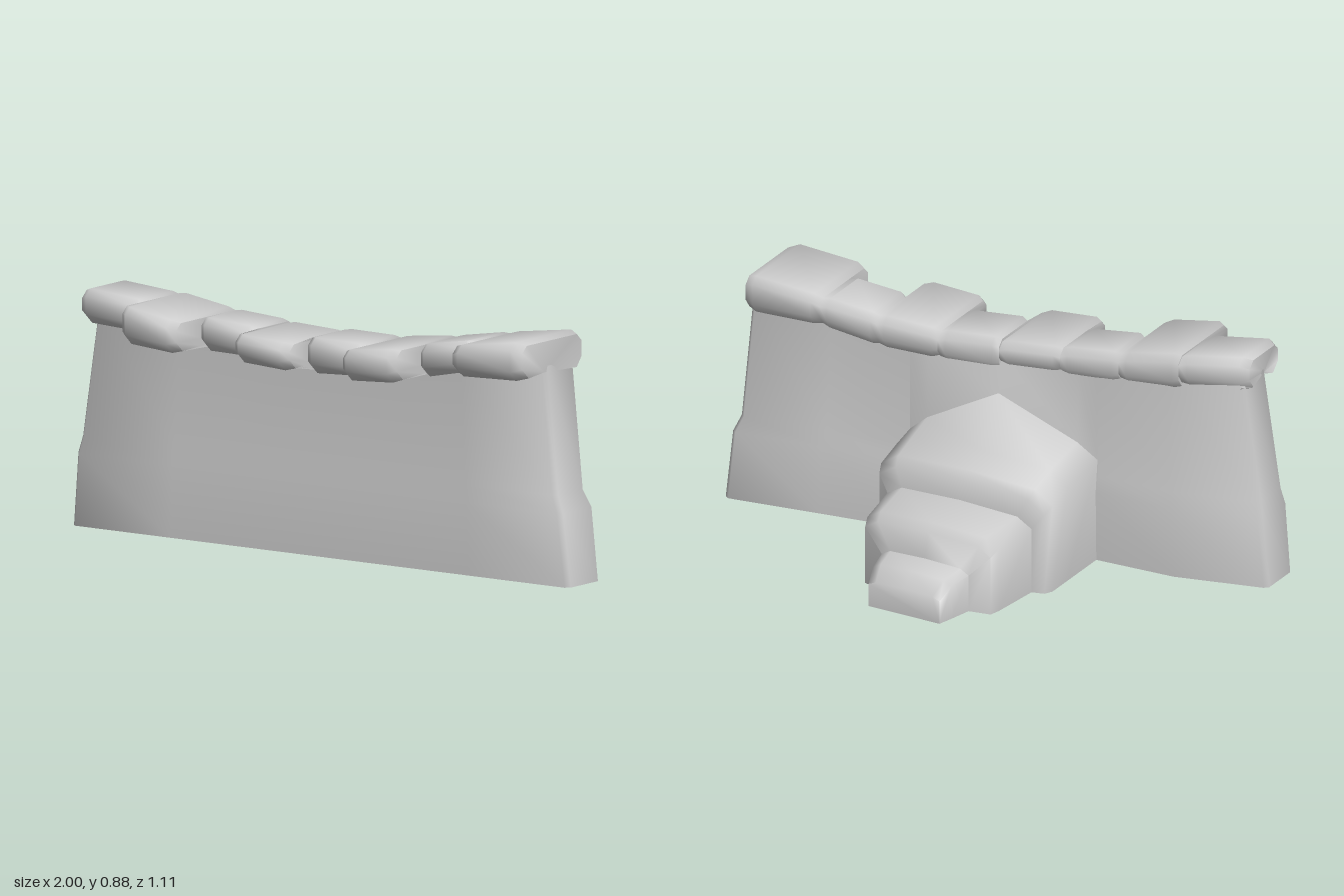
import * as THREE from 'three';
import { toCreasedNormals } from 'three/addons/utils/BufferGeometryUtils.js';

const material = new THREE.MeshStandardMaterial({ color: 0xcccccc, side: THREE.DoubleSide });
const lerp = THREE.MathUtils.lerp;

// Skins a list of equal-length point rows; the first and last can be filled with fans.
function loft(name, rows, { capStart = false, capEnd = false, flip = false, crease = 1.1 } = {}) {
  const n = rows[0].length;
  const index = [];
  const tri = (a, b, c) => (flip ? index.push(a, c, b) : index.push(a, b, c));
  for (let i = 0; i < rows.length - 1; i++) {
    for (let j = 0; j < n - 1; j++) {
      const a = i * n + j;
      tri(a, a + n, a + 1);
      tri(a + 1, a + n, a + n + 1);
    }
  }
  const last = (rows.length - 1) * n;
  for (let j = 1; j < n - 1; j++) {
    if (capStart) tri(0, j, j + 1);
    if (capEnd) tri(last, last + j + 1, last + j);
  }
  const geometry = new THREE.BufferGeometry();
  geometry.setAttribute('position', new THREE.Float32BufferAttribute(rows.flat(2), 3));
  geometry.setIndex(index);
  const mesh = new THREE.Mesh(toCreasedNormals(geometry, crease), material);
  mesh.name = name;
  return mesh;
}

// The wall runs diagonally: z falls as x grows.
const SLOPE = -0.16;
const WALL_FRONT = 0.275;
const WALL_BACK = 0.118;

// Wall levels: height, half width at the right and left end, front and back offset
const LEVELS = [
  [0, 1, 1, 0.28, 0.11], [0.26, 0.97, 0.98, 0.283, 0.105],
  [0.32, 0.945, 0.967, WALL_FRONT, WALL_BACK], [0.75, 0.9, 0.9, WALL_FRONT, WALL_BACK],
];

// One upright column of wall points; "shift" moves it in z, "open" lifts its foot
function wallColumn(s, front, shift = 0, open = 0) {
  return LEVELS.map(([y, right, left, f, b], level) => {
    const w = s > 0 ? right : left;
    const x = s - Math.sign(s) * Math.max(0, Math.abs(s) - 0.4) / 0.6 * (1 - w);
    const height = level === 3 ? 0.71 + 0.085 * s * s : y;
    const offset = open > 0 ? WALL_BACK : front ? f : b;
    const moved = level < 3 || Math.abs(s) > 0.9 ? shift : 0;
    return [x, Math.max(height, open), offset + SLOPE * x + moved];
  });
}

// Buttress section: position across, tier outline, and the gable (height, z shift) at the wall
const ACROSS = [0, 0, 0.1, 0.5, 0.9, 1, 1];
const TIER = [0, 0.85, 0.97, 1, 0.97, 0.85, 0];
const GABLE = [[0, 0], [0.38, 0], [0.44, -0.01], [0.59, -0.035], [0.44, -0.01], [0.38, 0], [0, 0]];
const joint = ACROSS.map((u, i) => wallColumn(lerp(-0.37, 0.32, u), false, GABLE[i][1], GABLE[i][0]));

function buildWall() {
  // Columns run round the wall; the back is open where the buttress joins
  const columns = [
    wallColumn(-1, true, -0.015),
    ...[-0.985, -0.6, -0.2, 0.2, 0.6, 0.985].map((s) => wallColumn(s, true)),
    wallColumn(1, true, -0.015),
    wallColumn(1, false, 0.012),
    wallColumn(0.985, false),
    wallColumn(0.65, false),
    ...[...joint].reverse(),
    wallColumn(-0.67, false, -0.03),
    wallColumn(-0.985, false),
    wallColumn(-1, false, 0.012),
  ];
  return loft('wall', [...columns, columns[0]]);
}

function buildButtress() {
  // Tier outline from the wall outwards: z, left x, right x, height
  const tiers = [
    [-0.03, -0.37, 0.32, 0.42], [-0.13, -0.37, 0.32, 0.385], [-0.16, -0.355, 0.31, 0.355],
    [-0.172, -0.31, 0.27, 0.285], [-0.36, -0.29, 0.24, 0.275], [-0.4, -0.28, 0.225, 0.255],
    [-0.415, -0.2, 0.15, 0.16], [-0.5, -0.18, 0.135, 0.145], [-0.555, -0.165, 0.12, 0.1],
  ];
  const rows = tiers.map(([z, l, r, h]) => ACROSS.map((u, i) => [lerp(l, r, u), TIER[i] * h, z]));
  return loft('steppedButtress', [joint.map((column) => column[0]), ...rows],
    { capEnd: true, flip: true, crease: 1.2 });
}

// Cross-section of the coping, from the wall front over the top to the wall back
function copingRow(x, bottom, top, back, front) {
  const c = 0.025, d = 0.035;
  const wallX = THREE.MathUtils.clamp(x, -0.9, 0.9);
  return [
    [wallX, bottom + 0.005, WALL_FRONT + SLOPE * wallX],
    [x, bottom, front - d], [x, bottom + d, front], [x, top - c, front], [x, top, front - c],
    [x, top, back + c], [x, top - c, back], [x, bottom + d, back], [x, bottom, back + c],
    [wallX, bottom + 0.005, WALL_BACK + SLOPE * wallX],
  ];
}

function buildCoping() {
  // Stones from the right end to the left; every other one juts forward.
  // Each end: x, bottom, top, back z, front z
  const stones = [
    [[-0.925, 0.735, 0.86, 0.26, 0.49], [-0.68, 0.72, 0.835, 0.205, 0.44]],
    [[-0.68, 0.705, 0.84, 0.205, 0.56], [-0.455, 0.69, 0.805, 0.175, 0.535]],
    [[-0.455, 0.685, 0.805, 0.175, 0.4], [-0.24, 0.68, 0.79, 0.14, 0.36]],
    [[-0.24, 0.685, 0.785, 0.14, 0.47], [-0.015, 0.675, 0.775, 0.105, 0.445]],
    [[-0.015, 0.655, 0.785, 0.105, 0.345], [0.205, 0.665, 0.78, 0.06, 0.3]],
    [[0.205, 0.67, 0.78, 0.06, 0.415], [0.425, 0.685, 0.805, 0.015, 0.385]],
    [[0.425, 0.685, 0.805, 0.015, 0.255], [0.63, 0.73, 0.84, -0.025, 0.215]],
    [[0.63, 0.73, 0.84, -0.025, 0.325], [0.91, 0.74, 0.88, -0.07, 0.28]],
  ];
  const rows = stones.flatMap(([a, b]) => [0, 0.12, 0.88, 1].map((t) => {
    const [x, bottom, top, back, front] = a.map((v, i) => lerp(v, b[i], t));
    if (t > 0 && t < 1) return copingRow(x, bottom, top, back, front);
    // Stone ends are drawn in; the two outer ends all round
    const outer = Math.abs(x) > 0.9;
    return copingRow(x, bottom + 0.008, top - (outer ? 0.015 : 0.006), back + (outer ? 0.015 : 0), front - 0.02);
  }));
  return loft('coping', rows, { capStart: true, capEnd: true });
}

export function createModel() {
  const group = new THREE.Group();
  group.name = 'ruinedWall';
  group.add(buildWall(), buildButtress(), buildCoping());
  return group;
}
